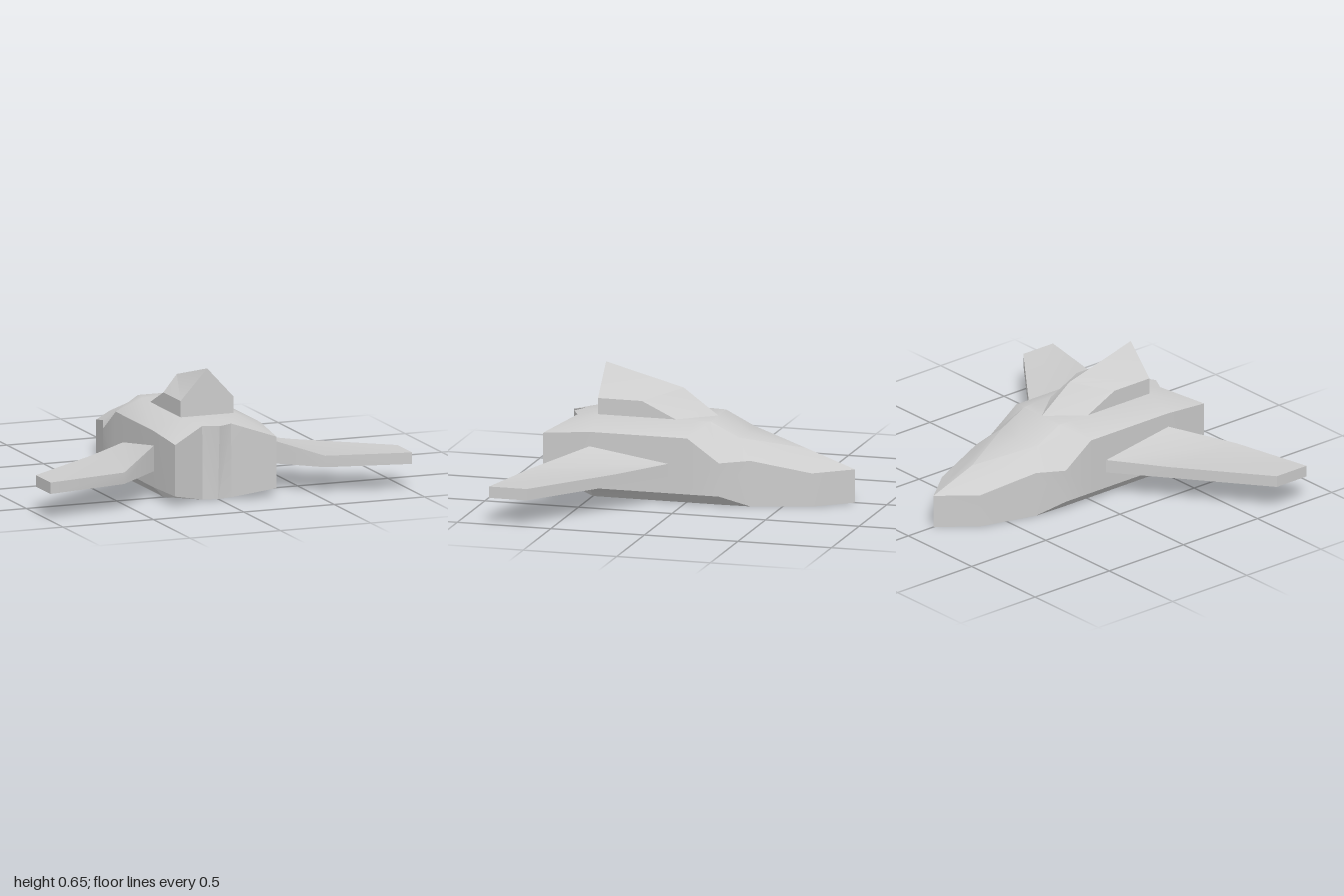
import * as THREE from 'three';
import { toCreasedNormals } from 'three/addons/utils/BufferGeometryUtils.js';

const material = new THREE.MeshStandardMaterial({ color: 0xcccccc });

// Builds a mesh from four-cornered faces given for the +x side; -1 in sides adds the mirror image.
function solid(name, quads, sides) {
  const pos = [];
  const tri = (p, q, r) => {
    const [A, B, C] = [p, q, r].map((v) => new THREE.Vector3(...v));
    if (B.clone().sub(A).cross(C.clone().sub(A)).length() > 1e-6) pos.push(...p, ...q, ...r);
  };
  for (const s of sides) {
    for (const quad of quads) {
      const [a, b, c, d] = quad.map(([x, y, z]) => [x * s, y, z]);
      if (s > 0) { tri(a, b, c); tri(a, c, d); } else { tri(a, c, b); tri(a, d, c); }
    }
  }
  const geo = new THREE.BufferGeometry();
  geo.setAttribute('position', new THREE.Float32BufferAttribute(pos, 3));
  const mesh = new THREE.Mesh(toCreasedNormals(geo, 0.6), material);
  mesh.name = name;
  return mesh;
}

// Hull: half sections from nose to stern, each running from top centre round to bottom centre.
function hull() {
  const sections = [
    [[0, 0.175, -0.83], [0, 0.175, -0.83], [0, 0.175, -0.83], [0, 0, -0.83], [0, 0, -0.83], [0, 0, -0.83]],
    [[0, 0.27, -0.57], [0.12, 0.255, -0.455], [0.15, 0.175, -0.645], [0.15, 0, -0.645], [0.1, 0, -0.645], [0, 0, -0.645]],
    [[0, 0.335, -0.26], [0.14, 0.335, -0.25], [0.235, 0.24, -0.34], [0.235, 0, -0.34], [0.2, 0, -0.34], [0, 0, -0.34]],
    [[0, 0.41, -0.1], [0.14, 0.41, -0.1], [0.295, 0.23, -0.19], [0.295, 0.055, -0.19], [0.24, 0, -0.19], [0, 0, -0.19]],
    [[0, 0.41, -0.02], [0.15, 0.41, -0.02], [0.295, 0.35, -0.02], [0.295, 0.055, -0.02], [0.24, 0, -0.02], [0, 0, -0.02]],
    [[0, 0.41, 0.5], [0.15, 0.41, 0.5], [0.295, 0.35, 0.5], [0.295, 0.055, 0.5], [0.24, 0, 0.5], [0, 0, 0.5]],
    [[0, 0.385, 0.67], [0.08, 0.385, 0.63], [0.28, 0.325, 0.755], [0.28, 0.055, 0.755], [0.08, 0, 0.635], [0, 0, 0.65]],
  ];
  const quads = [];
  for (let i = 0; i < sections.length - 1; i++) {
    const [p, q] = [sections[i], sections[i + 1]];
    for (let j = 0; j < 5; j++) quads.push([p[j], q[j], q[j + 1], p[j + 1]]);
  }
  // Notched stern face
  const e = sections[sections.length - 1];
  for (let j = 0; j < 2; j++) quads.push([e[5 - j], e[4 - j], e[j + 1], e[j]]);
  return solid('hull', quads, [1, -1]);
}

// Raised peaked cabin on the back of the hull.
function cabin() {
  const ridge = [[0, 0.655, 0.5], [0, 0.545, 0.085], [0, 0.41, -0.1]];
  const eave = [[0.147, 0.495, 0.5], [0.147, 0.495, 0.265], [0.147, 0.41, 0.085]];
  const corner = [0.147, 0.41, 0.5];
  return solid('cabin', [
    [ridge[1], ridge[0], eave[0], eave[1]],
    [ridge[2], ridge[1], eave[1], eave[2]],
    [eave[1], eave[0], corner, eave[2]],
    [ridge[0], [0, 0.41, 0.5], corner, eave[0]],
  ], [1, -1]);
}

// Swept wing: sections at root, kink and tip.
function wing(name, side) {
  const section = (x, zLead, zTrail, yLead, yTrail) => [
    [x, yLead, zLead], [x, yTrail, zTrail], [x, 0.14, zTrail], [x, 0.14, zLead],
  ];
  const s = [
    section(0.293, 0.08, 0.5, 0.21, 0.275),
    section(0.555, 0.285, 0.74, 0.2, 0.2),
    section(1, 0.63, 0.83, 0.2, 0.2),
  ];
  const quads = [s[2], [...s[0]].reverse()];
  for (let i = 0; i < 2; i++) {
    for (let j = 0; j < 4; j++) {
      const k = (j + 1) % 4;
      quads.push([s[i][j], s[i][k], s[i + 1][k], s[i + 1][j]]);
    }
  }
  return solid(name, quads, [side]);
}

export function createModel() {
  const model = new THREE.Group();
  model.name = 'spacecraft';
  model.add(hull(), cabin(), wing('leftWing', 1), wing('rightWing', -1));
  return model;
}
